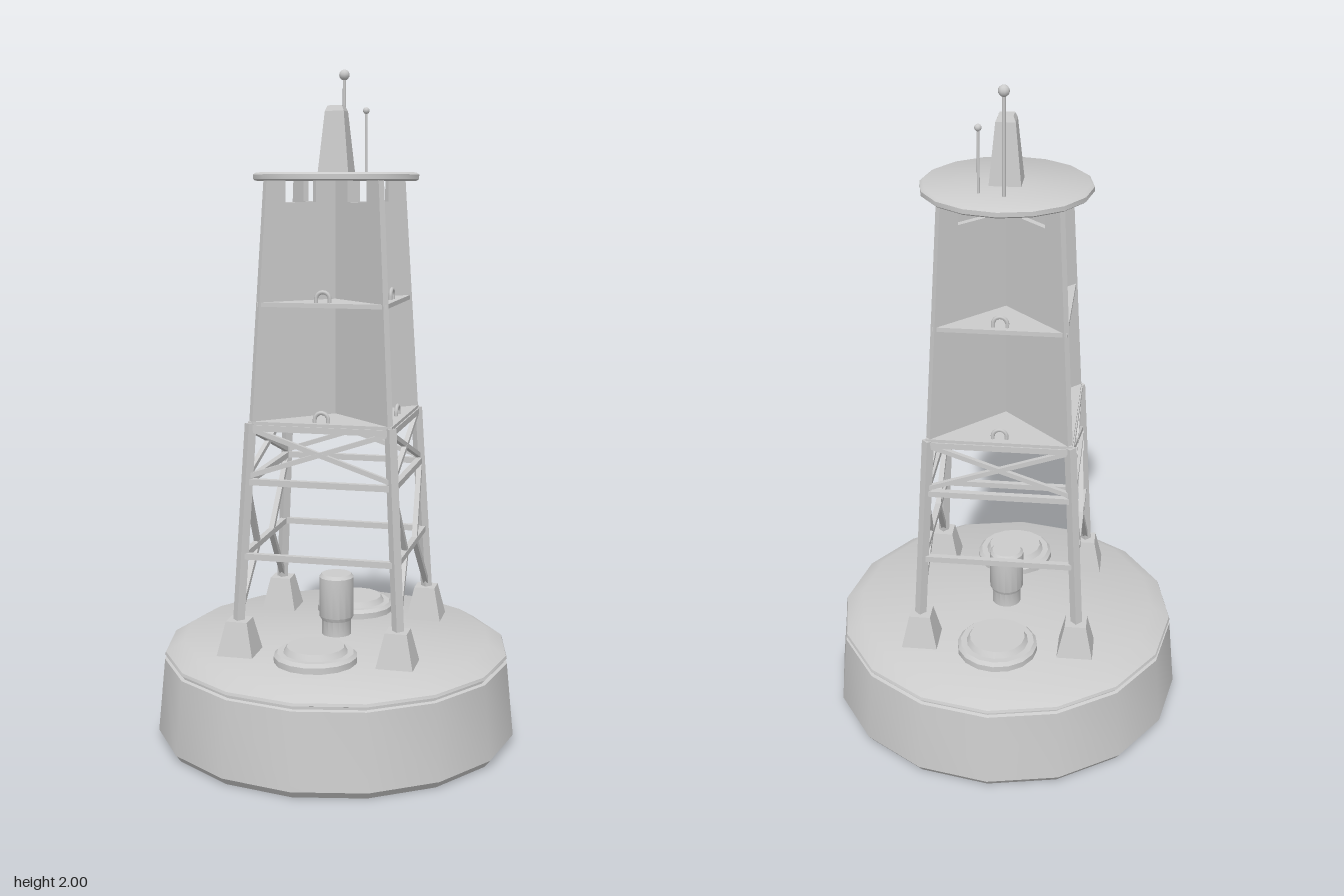
import * as THREE from 'three';
import { toCreasedNormals } from 'three/addons/utils/BufferGeometryUtils.js';

const smooth = new THREE.MeshStandardMaterial({ color: 0xcccccc });
const flat = new THREE.MeshStandardMaterial({ color: 0xcccccc, flatShading: true });

export function createModel() {
  const model = new THREE.Group();

  const add = (name, geometry, material = flat, parent = model) => {
    const mesh = new THREE.Mesh(geometry, material);
    mesh.name = name;
    parent.add(mesh);
    return mesh;
  };

  // Turned part from [radius, y] pairs, bottom to top
  const turned = (name, profile, sides = 16) => {
    const points = profile.map(([r, y]) => new THREE.Vector2(r, y));
    return add(name, toCreasedNormals(new THREE.LatheGeometry(points, sides), 0.65), smooth);
  };

  // Square frustum between two heights, given half widths
  const frustum = (name, low, high, y0, y1, x = 0, z = 0) => {
    const g = new THREE.CylinderGeometry(high * Math.SQRT2, low * Math.SQRT2, y1 - y0, 4);
    g.rotateY(Math.PI / 4);
    return add(name, g).position.set(x, (y0 + y1) / 2, z);
  };

  // Square bar between two points, one face turned outward
  const bar = (name, a, b, width, outward, parent = model) => {
    const dir = b.clone().sub(a);
    const mesh = add(name, new THREE.BoxGeometry(width, dir.length(), width), flat, parent);
    const y = dir.clone().normalize();
    const x = new THREE.Vector3().crossVectors(y, outward).normalize();
    const z = new THREE.Vector3().crossVectors(x, y);
    mesh.quaternion.setFromRotationMatrix(new THREE.Matrix4().makeBasis(x, y, z));
    mesh.position.copy(a).add(b).multiplyScalar(0.5);
  };

  // Half width of the tapering tower at a height
  const half = (y) => 0.238 - (y - 0.4) * 0.055;

  // Float with a seam under its bevelled deck
  turned('float', [[0, 0], [0.53, 0], [0.547, 0.022], [0.525, 0.245], [0.515, 0.248],
    [0.515, 0.256], [0.525, 0.26], [0.522, 0.268], [0.468, 0.3], [0, 0.3]]);

  // Deck hatches
  for (const z of [-0.26, 0.26]) {
    turned('hatch', [[0.122, 0.295], [0.122, 0.318], [0.112, 0.328], [0.094, 0.328],
      [0.084, 0.345], [0, 0.345]]).position.z = z;
  }

  // Central vent
  turned('vent', [[0.045, 0.295], [0.045, 0.345], [0.053, 0.358], [0.053, 0.48],
    [0.045, 0.49], [0, 0.49]]);

  // Feet and legs
  for (const sx of [-1, 1]) {
    for (const sz of [-1, 1]) {
      frustum('foot', 0.055, 0.032, 0.295, 0.4, sx * 0.237, sz * 0.237);
      const at = (y) => new THREE.Vector3(sx * half(y), y, sz * half(y));
      bar('leg', at(0.38), at(0.98), 0.025, new THREE.Vector3(sx, 0, sz));
    }
  }

  // Lattice on the four sides
  const front = new THREE.Vector3(0, 0, 1);
  for (let i = 0; i < 4; i++) {
    const side = new THREE.Group();
    side.name = 'latticeSide';
    side.rotation.y = i * Math.PI / 2;
    model.add(side);
    const at = (x, y) => new THREE.Vector3(x, y, half(y));
    for (const y of [0.59, 0.81, 0.968]) {
      bar('rung', at(-half(y), y), at(half(y), y), 0.018, front, side);
    }
    for (const s of [-1, 1]) {
      bar('crossBrace', at(-s * half(0.825), 0.825), at(s * half(0.965), 0.965), 0.014, front, side);
      if (i % 2 === 1) {
        // Angled braces on the left and right sides only
        bar('upperBrace', at(s * half(0.8), 0.8), at(s * 0.075, 0.59), 0.016, front, side);
        bar('lowerBrace', at(s * half(0.41), 0.41), at(s * 0.075, 0.59), 0.016, front, side);
      }
    }
    // Lifting eyes at the edges of the shelves
    for (const y of [0.985, 1.33]) {
      const eye = add('liftingEye', new THREE.TorusGeometry(0.02, 0.006, 6, 12, Math.PI), smooth, side);
      eye.position.set(0, y + 0.01, half(y) - 0.02);
      for (const s of [-1, 1]) {
        const post = add('eyePost', new THREE.CylinderGeometry(0.006, 0.006, 0.012, 6), smooth, side);
        post.position.set(s * 0.02, y + 0.005, half(y) - 0.02);
      }
    }
  }

  // Square shelves
  for (const [y, w] of [[0.98, 0.212], [1.323, 0.189]]) {
    add('shelf', new THREE.BoxGeometry(w * 2, 0.013, w * 2)).position.y = y;
  }

  // Two crossed diagonal plates, notched below the cap
  const right = [[0.206, 0.98], [0.168, 1.68], [0.125, 1.68], [0.125, 1.612],
    [0.053, 1.612], [0.053, 1.68]];
  const left = right.map(([x, y]) => [-x, y]).reverse();
  const outline = new THREE.Shape([...right, ...left]
    .map(([x, y]) => new THREE.Vector2(x * Math.SQRT2, y)));
  for (const s of [-1, 1]) {
    const g = new THREE.ExtrudeGeometry(outline, { depth: 0.018, bevelEnabled: false });
    g.translate(0, 0, -0.009);
    add('reflectorPlate', g).rotation.y = s * Math.PI / 4;
  }

  // Round cap
  turned('cap', [[0, 1.673], [0.238, 1.673], [0.245, 1.678], [0.245, 1.691],
    [0.236, 1.697], [0, 1.697]]);

  // Lantern
  frustum('lantern', 0.046, 0.028, 1.69, 1.872);
  frustum('lanternTop', 0.028, 0.021, 1.872, 1.888);

  // Antennas with ball tips
  for (const [x, z, top, r, rod] of [[-0.007, -0.13, 2, 0.016, 0.005], [0.065, -0.108, 1.888, 0.01, 0.004]]) {
    const height = top - r - 1.69;
    add('antennaRod', new THREE.CylinderGeometry(rod, rod, height, 8), smooth)
      .position.set(x, 1.69 + height / 2, z);
    add('antennaTip', new THREE.SphereGeometry(r, 10, 8), smooth).position.set(x, top - r, z);
  }

  return model;
}
